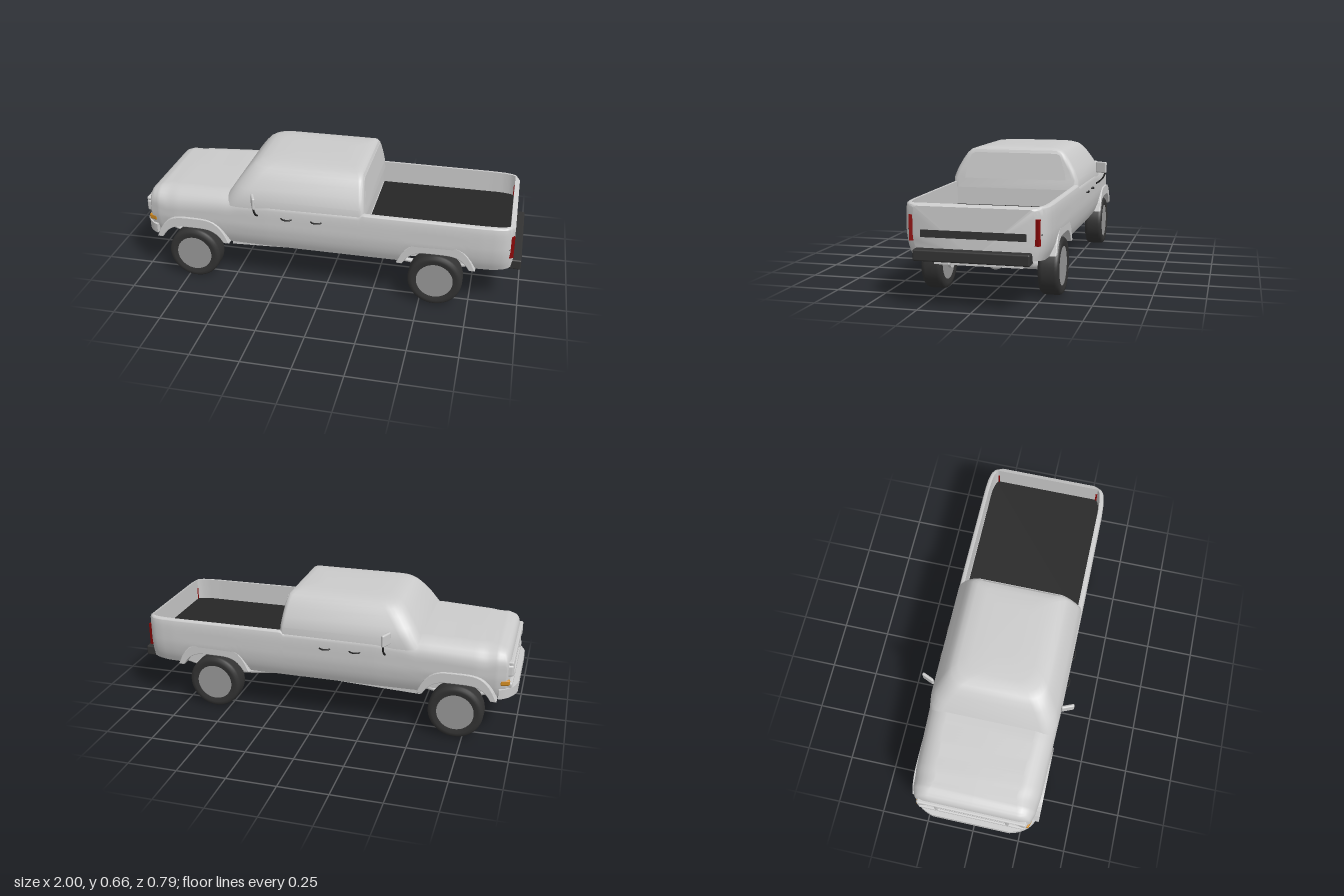
import * as THREE from 'three';
import { toCreasedNormals } from 'three/addons/utils/BufferGeometryUtils.js';
import { RoundedBoxGeometry } from 'three/addons/geometries/RoundedBoxGeometry.js';

const mat = (color) => new THREE.MeshStandardMaterial({ color, side: THREE.DoubleSide });
const grey = mat(0xcccccc), rimGrey = mat(0x999999), black = mat(0x262626), rubber = mat(0x333333);
const red = mat(0x8a0808), amber = mat(0xd08a20);

const AXLES = [-0.71, 0.577];

// piecewise linear lookup in [[x, value], ...]
function lerp(table, x) {
  if (x <= table[0][0]) return table[0][1];
  for (let i = 1; i < table.length; i++) {
    const [x0, a] = table[i - 1], [x1, b] = table[i];
    if (x <= x1) return a + ((b - a) * (x - x0)) / (x1 - x0);
  }
  return table[table.length - 1][1];
}

// skin through closed rings of equal point count, capped at both ends
function loft(rings, crease = 0.6) {
  const n = rings[0].length, pos = rings.flat(2), idx = [];
  for (let i = 0; i < rings.length - 1; i++) {
    for (let j = 0; j < n; j++) {
      const a = i * n + j, b = i * n + ((j + 1) % n), d = a + n, c = b + n;
      idx.push(a, d, b, b, d, c);
    }
  }
  const last = (rings.length - 1) * n;
  for (let j = 1; j < n - 1; j++) {
    idx.push(0, j, j + 1, last, last + j + 1, last + j);
  }
  const g = new THREE.BufferGeometry();
  g.setAttribute('position', new THREE.Float32BufferAttribute(pos, 3));
  g.setIndex(idx);
  return toCreasedNormals(g, crease);
}

// body outline tables
const WIDTH = [[-0.96, 0.275], [-0.945, 0.298], [-0.9, 0.314], [-0.8, 0.325], [-0.6, 0.33], [-0.3, 0.338],
  [0.3, 0.34], [0.8, 0.338], [0.87, 0.334], [0.91, 0.326], [0.935, 0.31], [0.955, 0.275]];
const TOP = [[-0.96, 0.435], [-0.953, 0.46], [-0.935, 0.478], [-0.9, 0.49], [-0.8, 0.497], [-0.55, 0.505],
  [-0.45, 0.505], [-0.3, 0.485], [0.2, 0.478], [0.93, 0.476], [0.955, 0.465]];
const ROUND = [[-0.96, 0.06], [-0.85, 0.1], [-0.5, 0.09], [-0.3, 0.04], [0.199, 0.03], [0.2, 0.012]];
const SIDE = [[0.21, 0.88], [0.24, 0.925], [0.28, 0.97], [0.34, 1], [0.43, 1], [0.48, 0.985]];

function bottomAt(x) {
  let y = lerp([[-0.96, 0.25], [-0.9, 0.235], [-0.5, 0.224], [0.4, 0.226], [0.85, 0.228], [0.955, 0.24]], x);
  for (const ax of AXLES) {
    const t = Math.abs(x - ax) / 0.175;
    if (t < 1) y = Math.max(y, 0.225 + 0.08 * (1 - t ** 4));
  }
  return y;
}

function bodySection(x, bed) {
  const W = lerp(WIDTH, x), T = lerp(TOP, x), r = lerp(ROUND, x), b = bottomAt(x);
  const half = [[x, b, 0]];
  for (let i = 0; i <= 9; i++) {
    const y = b + ((T - r - b) * i) / 9;
    half.push([x, y, W * lerp(SIDE, y)]);
  }
  const shoulder = half[10][2], rz = r * 1.1;
  for (let i = 1; i <= 6; i++) {
    const a = (i / 6) * Math.PI / 2;
    half.push([x, T - r + r * Math.sin(a), shoulder - rz + rz * Math.cos(a)]);
  }
  const zi = Math.min(W - 0.027, shoulder - rz - 0.004);
  half.push([x, T, zi], [x, bed ? 0.352 : T, zi], [x, bed ? 0.352 : T, 0]);
  return half.concat(half.slice(1, -1).reverse().map(([px, y, z]) => [px, y, -z]));
}

function bodyGeometry() {
  const rings = [];
  const span = (a, b, n, bed) => { for (let i = 0; i <= n; i++) rings.push(bodySection(a + ((b - a) * i) / n, bed)); };
  span(-0.96, -0.9, 8, false);
  span(-0.89, 0.2, 70, false);
  span(0.2, 0.93, 48, true);
  span(0.93, 0.955, 6, false);
  return loft(rings);
}

// cab levels: y, front x, rear x, half width
const CAB = [[0.45, -0.545, 0.21, 0.333], [0.5, -0.515, 0.206, 0.332], [0.55, -0.482, 0.2, 0.312],
  [0.6, -0.444, 0.194, 0.283], [0.63, -0.418, 0.189, 0.262], [0.648, -0.394, 0.182, 0.243],
  [0.658, -0.365, 0.17, 0.215], [0.663, -0.32, 0.14, 0.16], [0.665, -0.22, 0.06, 0.08]];

function cabGeometry() {
  return loft(CAB.map(([y, x0, x1, w]) => {
    const ring = [];
    const corners = [[x1, 1, 0.025, 0.03], [x0, 1, 0.09, 0.075], [x0, -1, 0.09, 0.075], [x1, -1, 0.025, 0.03]];
    corners.forEach(([cx, s, rx, rz], k) => {
      for (let i = 0; i <= 6; i++) {
        const a = (k + i / 6) * Math.PI / 2;
        const inX = cx === x1 ? x1 - rx : x0 + rx;
        ring.push([inX + rx * Math.cos(a), y, s * (w - rz) + rz * Math.sin(a)]);
      }
    });
    return ring;
  }), 0.5);
}

// band around a wheel opening
function flareGeometry() {
  const arch = (hw, top, rev) => {
    const pts = [];
    for (let i = 0; i <= 20; i++) {
      const t = -1 + i / 10;
      pts.push(new THREE.Vector2(t * hw, 0.23 + (top - 0.23) * (1 - t ** 4)));
    }
    return rev ? pts.reverse() : pts;
  };
  const s = new THREE.Shape([...arch(0.195, 0.352), ...arch(0.172, 0.303, true)]);
  return new THREE.ExtrudeGeometry(s, { depth: 0.05, bevelEnabled: true, bevelSize: 0.004, bevelThickness: 0.004, bevelSegments: 2 });
}

const tube = (pts, r, n = 24) => new THREE.TubeGeometry(
  new THREE.CatmullRomCurve3(pts.map((p) => new THREE.Vector3(...p))), n, r, 10);

export function createModel() {
  const model = new THREE.Group();
  const add = (name, geo, m, x = 0, y = 0, z = 0, parent = model) => {
    const mesh = new THREE.Mesh(geo, m);
    mesh.name = name;
    mesh.position.set(x, y, z);
    parent.add(mesh);
    return mesh;
  };
  const box = (name, m, w, h, d, x, y, z, r = 0) => add(name,
    r ? new RoundedBoxGeometry(w, h, d, 3, r) : new THREE.BoxGeometry(w, h, d), m, x, y, z);
  const rod = (name, m, r, len, x, y, z) => {
    const mesh = add(name, new THREE.CylinderGeometry(r, r, len, 24), m, x, y, z);
    mesh.rotation.x = Math.PI / 2;
    return mesh;
  };

  // body shell, cab and load bed
  add('body', bodyGeometry(), grey);
  add('cab', cabGeometry(), grey);
  box('bedFloor', black, 0.73, 0.008, 0.618, 0.572, 0.356, 0);

  // rear window pane, leaning with the cab wall
  const pane = new THREE.Shape([[-0.268, 0], [0.268, 0], [0.262, 0.04], [0.235, 0.125], [0.215, 0.135],
    [-0.215, 0.135], [-0.235, 0.125], [-0.262, 0.04]].map((p) => new THREE.Vector2(...p)));
  const rearWindow = add('rearWindow', new THREE.ExtrudeGeometry(pane, { depth: 0.003, bevelEnabled: false }), grey, 0.205, 0.499, 0);
  rearWindow.rotation.set(0, Math.PI / 2, 0.125, 'ZYX');

  // wheels: tyre profile turned around the axle
  const tyre = new THREE.LatheGeometry([[0.094, -0.046], [0.115, -0.051], [0.13, -0.049], [0.138, -0.04], [0.14, -0.028],
    [0.14, 0.028], [0.138, 0.04], [0.13, 0.049], [0.115, 0.051], [0.094, 0.046]].map((p) => new THREE.Vector2(...p)), 48);
  const rim = new THREE.CylinderGeometry(0.096, 0.096, 0.09, 40);
  const flare = flareGeometry();
  for (const ax of AXLES) {
    for (const s of [1, -1]) {
      const wheel = new THREE.Group();
      wheel.name = ax < 0 ? 'frontWheel' : 'rearWheel';
      wheel.position.set(ax, 0.141, s * 0.285);
      wheel.rotation.x = Math.PI / 2;
      add('tyre', tyre, rubber, 0, 0, 0, wheel);
      add('rim', rim, rimGrey, 0, 0, 0, wheel);
      model.add(wheel);
      rod('hub', grey, 0.043, 0.014, ax, 0.145, s * 0.226);
      add('archFlare', flare, grey, ax, 0, s > 0 ? 0.284 : -0.334);
    }
    rod('axle', grey, ax < 0 ? 0.022 : 0.028, 0.44, ax, 0.145, 0);
  }

  // front end: grille frame, bars, lamps and bumper
  box('grilleTop', grey, 0.04, 0.02, 0.56, -0.956, 0.415, 0, 0.008);
  box('grilleBottom', grey, 0.04, 0.025, 0.56, -0.956, 0.3, 0, 0.008);
  for (let i = 0; i < 3; i++) box('grilleBar', grey, 0.02, 0.008, 0.36, -0.96, 0.333 + i * 0.025, 0);
  for (const s of [1, -1]) {
    box('grillePost', grey, 0.036, 0.11, 0.016, -0.957, 0.357, s * 0.185, 0.005);
    const lamp = box('headlight', grey, 0.05, 0.062, 0.09, -0.945, 0.377, s * 0.242, 0.012);
    lamp.rotation.y = s * -0.2;
    const marker = box('turnSignal', amber, 0.05, 0.03, 0.06, -0.934, 0.317, s * 0.27, 0.008);
    marker.rotation.y = s * -0.3;
  }
  const bumperPlan = new THREE.Shape();
  bumperPlan.moveTo(-0.2, 1).lineTo(0.2, 1).quadraticCurveTo(0.29, 0.98, 0.318, 0.915)
    .lineTo(0.295, 0.91).quadraticCurveTo(0.27, 0.955, 0.2, 0.965).lineTo(-0.2, 0.965)
    .quadraticCurveTo(-0.27, 0.955, -0.295, 0.91).lineTo(-0.318, 0.915).quadraticCurveTo(-0.29, 0.98, -0.2, 1);
  const bumper = add('frontBumper', toCreasedNormals(new THREE.ExtrudeGeometry(bumperPlan, { depth: 0.05, bevelEnabled: false }), 0.5), grey, 0, 0.235, 0);
  bumper.rotation.set(-Math.PI / 2, 0, Math.PI / 2);
  box('frontValance', grey, 0.06, 0.035, 0.5, -0.94, 0.255, 0, 0.01);

  // tail end
  box('rearBumper', rubber, 0.07, 0.053, 0.535, 0.964, 0.25, 0, 0.008);
  box('tailgateStrip', rubber, 0.012, 0.034, 0.486, 0.952, 0.342, 0);

  for (const s of [1, -1]) {
    const light = box('tailLight', red, 0.024, 0.118, 0.026, 0.941, 0.365, s * 0.288);
    light.rotation.y = s * 0.3;
    // door mirror on a curved arm
    const mirror = box('mirror', grey, 0.016, 0.063, 0.068, -0.358, 0.508, s * 0.365, 0.007);
    mirror.rotation.y = s * 0.4;
    add('mirrorArm', tube([[-0.35, 0.48, s * 0.39], [-0.348, 0.452, s * 0.378], [-0.348, 0.43, s * 0.358], [-0.348, 0.415, s * 0.335]], 0.005), black);
    // door handles
    for (const hx of [-0.193, -0.037]) {
      add('doorHandle', tube([[hx - 0.03, 0.412, s * 0.334], [hx - 0.016, 0.41, s * 0.346], [hx + 0.016, 0.41, s * 0.346], [hx + 0.03, 0.412, s * 0.334]], 0.004), black);
    }
    // leaf springs, frame rails, exhaust tips and tow points
    add('leafSpring', tube([[0.06, 0.205, s * 0.185], [0.3, 0.175, s * 0.185], [0.5, 0.155, s * 0.185], [0.65, 0.158, s * 0.185], [0.88, 0.21, s * 0.185]], 0.012), grey);
    add('frontArm', tube([[-0.92, 0.215, s * 0.17], [-0.71, 0.165, s * 0.17], [-0.48, 0.195, s * 0.17]], 0.012), grey);
    box('frameRail', grey, 1.7, 0.035, 0.03, 0.03, 0.222, s * 0.2);
    const tow = add('towPoint', new THREE.TorusGeometry(0.008, 0.003, 8, 20), grey, 0.885, 0.2, s * 0.132);
    tow.rotation.y = Math.PI / 2;
  }

  // underside pans and drive shaft
  const pan = new THREE.Shape([[-0.52, 0.232], [-0.52, 0.178], [-0.3, 0.187], [0, 0.2], [0.4, 0.215], [0.4, 0.232]]
    .map((p) => new THREE.Vector2(...p)));
  add('underPan', new THREE.ExtrudeGeometry(pan, { depth: 0.5, bevelEnabled: false }), grey, 0, 0, -0.25);
  box('rearPan', grey, 0.24, 0.04, 0.416, 0.76, 0.207, 0);
  add('driveShaft', tube([[-0.2, 0.195, 0], [0.2, 0.175, 0], [0.577, 0.145, 0]], 0.014), grey);
  add('differential', new THREE.SphereGeometry(0.042, 20, 14), grey, 0.577, 0.147, 0);
  return model;
}
